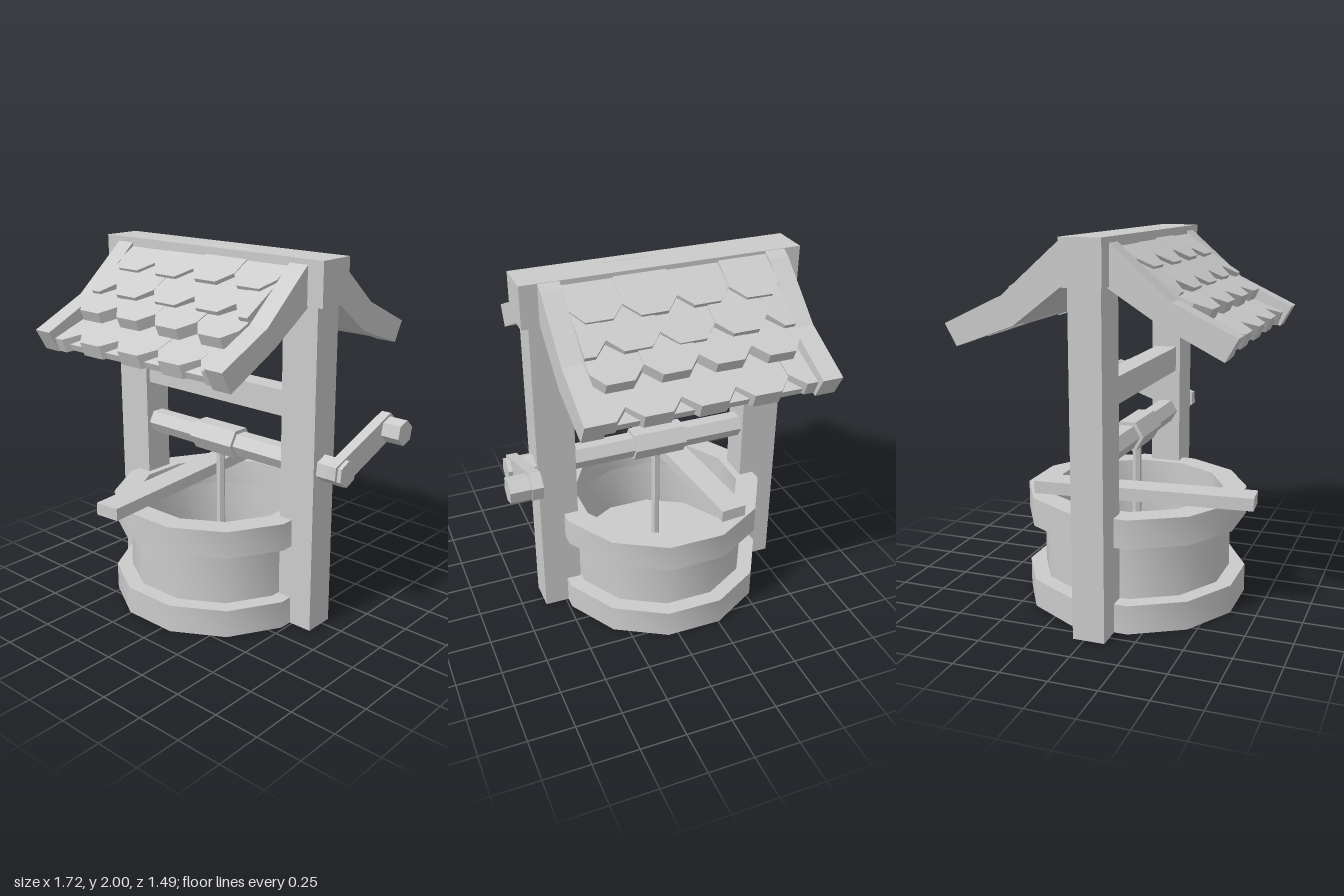
import * as THREE from 'three';
import { toCreasedNormals } from 'three/addons/utils/BufferGeometryUtils.js';

const CX = -0.1, CZ = 0.025; // axis of the well
const mat = new THREE.MeshStandardMaterial({ color: 0xcccccc, flatShading: true });
const openMat = new THREE.MeshStandardMaterial({ color: 0xcccccc, side: THREE.DoubleSide });

function add(parent, name, geometry, material = mat) {
  const mesh = new THREE.Mesh(geometry, material);
  mesh.name = name;
  parent.add(mesh);
  return mesh;
}

// box from its limits
function block(parent, name, [x0, x1], [y0, y1], [z0, z1]) {
  const g = new THREE.BoxGeometry(x1 - x0, y1 - y0, z1 - z0);
  g.translate((x0 + x1) / 2, (y0 + y1) / 2, (z0 + z1) / 2);
  return add(parent, name, g);
}

// post without a bottom face
function post(parent, name, xs) {
  const mesh = block(parent, name, xs, [0, 1.78], [-0.06, 0.11]);
  const index = Array.from(mesh.geometry.index.array);
  index.splice(18, 6);
  mesh.geometry.setIndex(index);
  mesh.geometry.clearGroups();
  mesh.material = openMat;
}

// side profile of [z, y] points, extruded along x
function prism(parent, name, profile, x0, x1) {
  const shape = new THREE.Shape(profile.map(([z, y]) => new THREE.Vector2(-z, y)));
  const g = new THREE.ExtrudeGeometry(shape, { depth: x1 - x0, bevelEnabled: false });
  g.rotateY(Math.PI / 2).translate(x0, 0, 0);
  return add(parent, name, g);
}

// six-sided rod along x
function rod(parent, name, x0, x1, y, z, r, tilt = 0) {
  const g = new THREE.CylinderGeometry(r, r, x1 - x0, 6);
  g.rotateZ(Math.PI / 2).rotateX(tilt).translate((x0 + x1) / 2, y, z);
  return add(parent, name, g);
}

// twelve-sided turned part with flats on the axes; profile of [distance to flat, y]
function turned(parent, name, profile) {
  const c = Math.cos(Math.PI / 12);
  const g = new THREE.LatheGeometry(profile.map(([r, y]) => new THREE.Vector2(r / c, y)), 12);
  g.rotateY(Math.PI / 12).translate(CX, 0, CZ);
  return add(parent, name, toCreasedNormals(g, 0.6), openMat);
}

let seed = 7;
const jitter = (a) => {
  seed = (seed * 16807) % 2147483647;
  return (seed / 2147483647 - 0.5) * 2 * a;
};

// shingle rows: upper edge and tip as [z, y], and thickness
const ROWS = [
  { up: [0.40, 1.645], tip: [0.705, 1.532], thick: 0.078 },
  { up: [0.30, 1.785], tip: [0.575, 1.662], thick: 0.062 },
  { up: [0.19, 1.90], tip: [0.442, 1.745], thick: 0.06 },
  { up: [0.06, 1.995], tip: [0.295, 1.857], thick: 0.058 },
];
const PITCH = 0.285, HALF = 0.557;

function shingle(parent, cx, { up, tip, thick }) {
  const dz = tip[0] - up[0], dy = up[1] - tip[1], len = Math.hypot(dz, dy);
  const h = PITCH / 2;
  const outline = [[-h, len], [-h, 0.08], [-h / 2, 0], [h / 2, 0], [h, 0.08], [h, len]];
  const shape = new THREE.Shape(outline.map(([x, s]) =>
    new THREE.Vector2(THREE.MathUtils.clamp(x + cx, -HALF, HALF) - cx, s)));
  const g = new THREE.ExtrudeGeometry(shape, { depth: thick, bevelEnabled: false });
  g.translate(0, 0, -thick);
  const mesh = add(parent, 'shingle', g);
  mesh.position.set(cx, tip[1] + jitter(0.005), tip[0] + jitter(0.005));
  mesh.rotation.set(-Math.atan2(dz, dy) + jitter(0.02), 0, jitter(0.012));
}

function roofSide(name, kinkY) {
  const side = new THREE.Group();
  side.name = name;
  // bent rafters at both gable ends
  const rafter = [[0.08, 2.0], [0.133, 1.97], [0.43, 1.712], [0.747, 1.562],
    [0.685, 1.45], [0.373, kinkY], [0.08, 1.79]];
  prism(side, 'rafter', rafter, HALF, HALF + 0.111);
  prism(side, 'rafter', rafter, -HALF - 0.111, -HALF);
  // boards under the shingles
  prism(side, 'roofBoard', [[0.08, 1.93], [0.41, 1.63], [0.675, 1.5],
    [0.66, 1.465], [0.378, kinkY - 0.005], [0.08, 1.82]], -HALF, HALF);
  // staggered rows
  ROWS.forEach((row, i) => {
    const start = i % 2 ? -1.5 : -2;
    for (let k = start; k <= -start; k++) shingle(side, k * PITCH, row);
  });
  side.position.x = CX;
  return side;
}

export function createModel() {
  const model = new THREE.Group();
  model.name = 'well';

  // stone well: base ring open below, hollow wall, closed rim
  turned(model, 'baseRing', [[0.585, 0], [0.585, 0.155], [0.48, 0.155]]);
  turned(model, 'wall', [[0.48, 0.155], [0.5, 0.155], [0.5, 0.46]]);
  turned(model, 'innerWall', [[0.46, 0.46], [0.46, 0.155], [0.48, 0.155]]);
  turned(model, 'rimRing', [[0.5, 0.46], [0.585, 0.46], [0.585, 0.613], [0.46, 0.613], [0.46, 0.46]]);
  turned(model, 'floor', [[0.46, 0.175], [0, 0.175]]);

  // timber frame
  post(model, 'rightPost', [-0.82, -0.601]);
  post(model, 'leftPost', [0.405, 0.62]);
  block(model, 'ridgeBeam', [-0.862, 0.662], [1.77, 2.0], [-0.083, 0.13]);
  block(model, 'crossBar', [-0.605, 0.408], [1.165, 1.305], [-0.035, 0.085]);

  // winch and rope
  rod(model, 'axle', -0.605, 0.41, 0.92, CZ, 0.07);
  rod(model, 'spool', -0.25, 0.052, 0.922, CZ, 0.09);
  const rope = new THREE.CylinderGeometry(0.025, 0.025, 0.74, 6);
  add(model, 'rope', rope.rotateY(Math.PI / 6).translate(-0.098, 0.51, CZ));

  // crank
  const crank = new THREE.Group();
  crank.name = 'crank';
  rod(crank, 'hub', 0.61, 0.773, 0.92, 0.025, 0.071, 0.4);
  prism(crank, 'arm', [[0.1, 0.97], [0.105, 0.9], [0.03, 0.845],
    [-0.435, 1.015], [-0.452, 1.09], [-0.39, 1.145]], 0.692, 0.75);
  rod(crank, 'handle', 0.74, 0.857, 1.06, -0.368, 0.069, 0.3);
  model.add(crank);

  // loose plank laid across the rim
  const plank = add(model, 'plank', new THREE.BoxGeometry(0.145, 0.068, 1.185));
  plank.position.set(-0.322, 0.647, 0.145);
  plank.rotation.y = 0.085;

  // roof
  model.add(roofSide('frontRoof', 1.605));
  const back = roofSide('backRoof', 1.565);
  back.rotation.y = Math.PI;
  model.add(back);

  return model;
}
